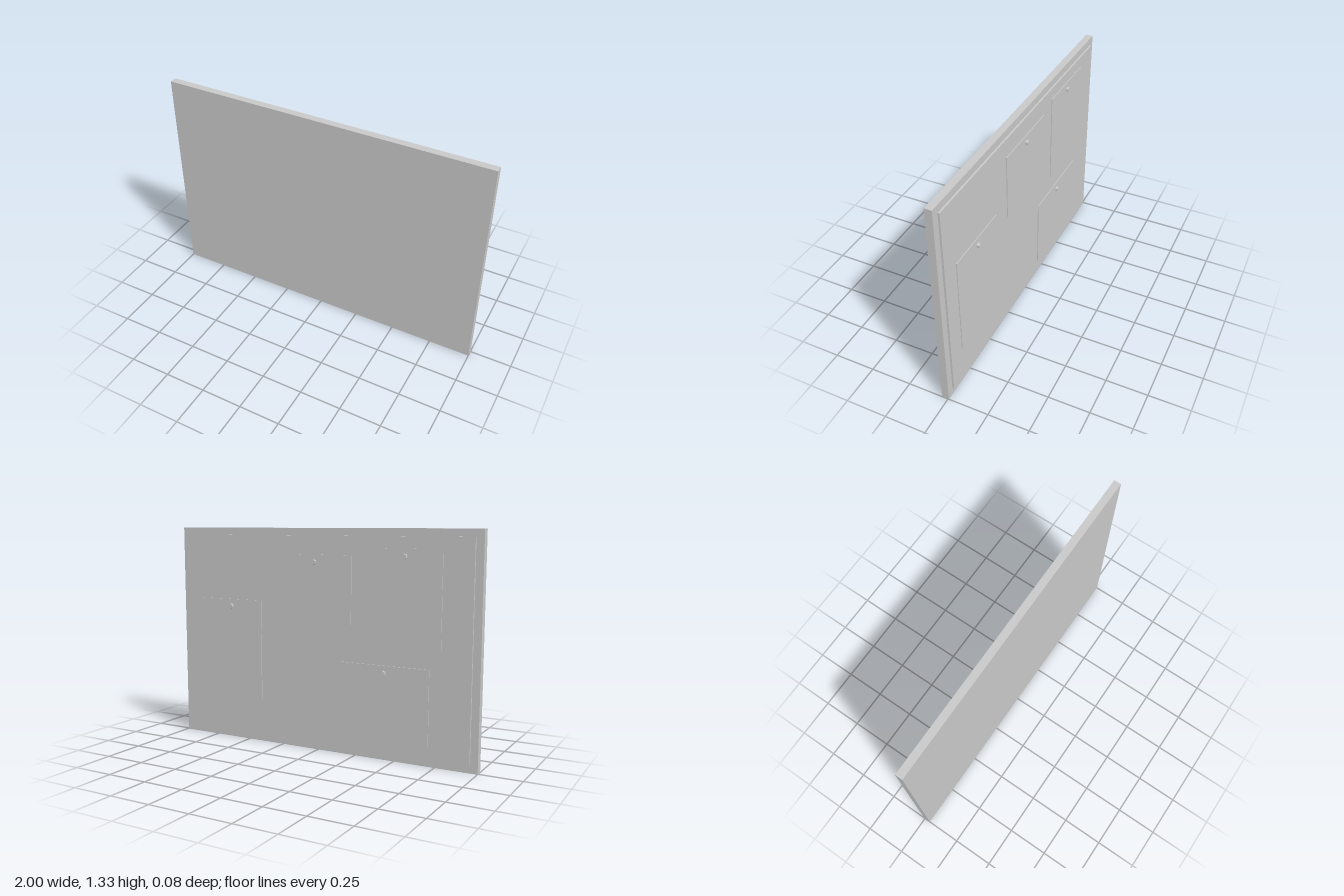
import * as THREE from 'three';

const grey = new THREE.MeshStandardMaterial({ color: 0xc8c8c8 });
grey.name = 'plain light grey';

// Box given by its lower and upper limits on each axis
function slab(name, [x0, x1], [y0, y1], [z0, z1]) {
  const mesh = new THREE.Mesh(new THREE.BoxGeometry(x1 - x0, y1 - y0, z1 - z0), grey);
  mesh.position.set((x0 + x1) / 2, (y0 + y1) / 2, (z0 + z1) / 2);
  mesh.name = name;
  return mesh;
}

export function createModel() {
  const board = new THREE.Group();
  board.name = 'noticeBoard';

  // Backing board and the raised pin panel on its rear side
  const zBoard = -0.006, zPanel = -0.017, zPaper = -0.022, zPin = -0.038;
  board.add(slab('backingBoard', [-1, 1], [0, 1.333], [zBoard, 0.038]));
  board.add(slab('pinPanel', [-0.955, 0.955], [0.044, 1.289], [zPanel, zBoard]));

  // Paper notes: x range, y range, pin height
  const notes = [
    [[0.4, 0.844], [0.267, 0.889], 0.845],
    [[-0.222, 0.267], [0.778, 1.178], 1.134],
    [[-0.778, -0.333], [0.667, 1.222], 1.178],
    [[-0.711, -0.156], [0.111, 0.556], 0.511],
  ];
  const pinGeometry = new THREE.CylinderGeometry(0.0167, 0.0167, zPaper - zPin, 6).toNonIndexed();
  pinGeometry.rotateX(Math.PI / 2);
  pinGeometry.computeVertexNormals();

  for (const [xs, ys, pinY] of notes) {
    const note = new THREE.Group();
    note.name = 'pinnedNote';
    note.add(slab('paper', xs, ys, [zPaper, zPanel]));

    // Flat-sided hexagonal push pin centred near the top of the paper
    const pin = new THREE.Mesh(pinGeometry, grey);
    pin.name = 'pushPin';
    pin.position.set((xs[0] + xs[1]) / 2, pinY, (zPaper + zPin) / 2);
    note.add(pin);
    board.add(note);
  }
  return board;
}
